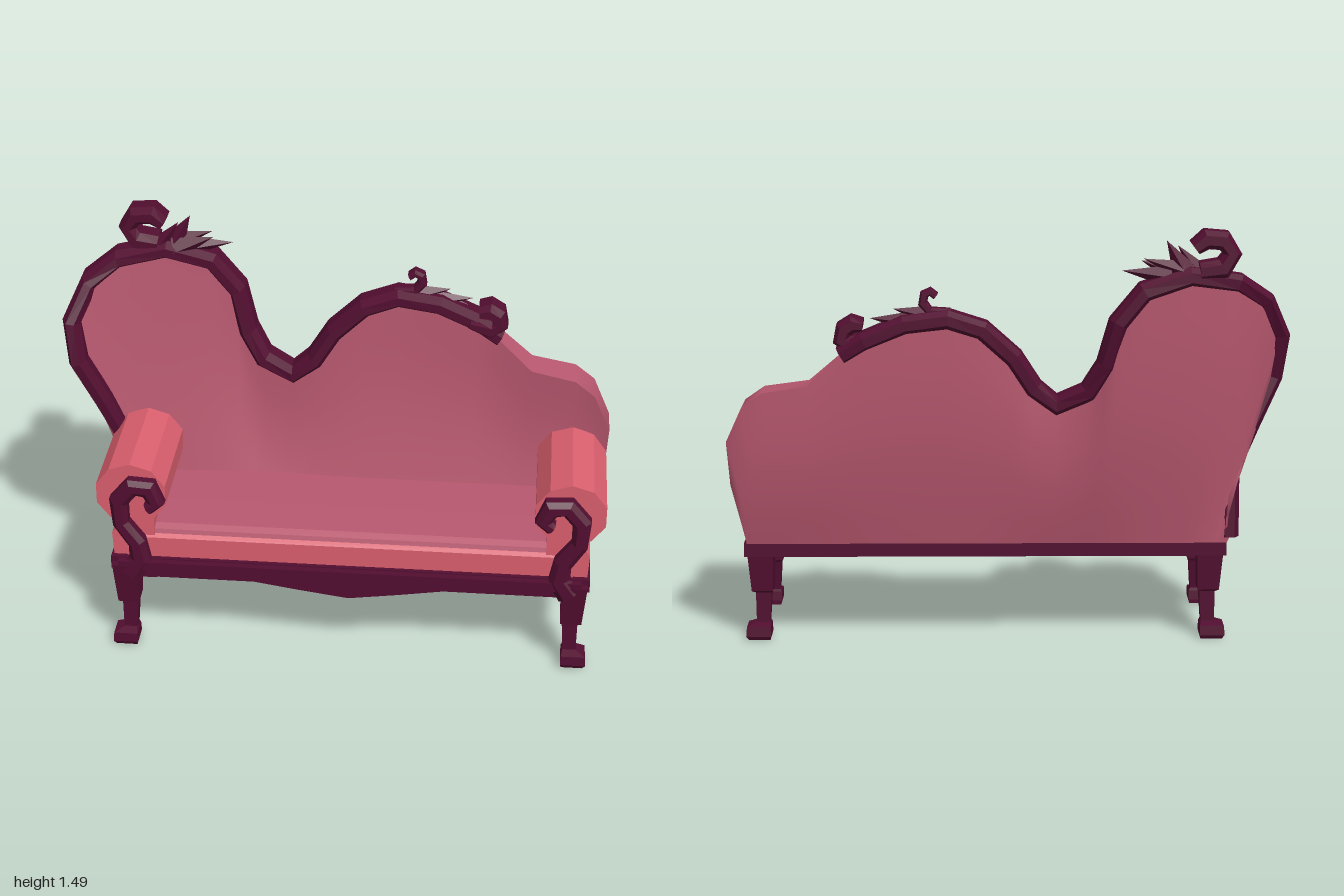
import * as THREE from 'three';

const wood = new THREE.MeshStandardMaterial({ color: 0x520e30 });
wood.name = 'dark wood'; wood.flatShading = true;
const fabric = new THREE.MeshStandardMaterial({ color: 0xb8586f, side: THREE.DoubleSide });
fabric.name = 'rose fabric';
const coral = new THREE.MeshStandardMaterial({ color: 0xda5f6e });
coral.name = 'coral fabric'; coral.flatShading = true;

const CX = 0.08; // middle of the seat and base

// Back outline, left to right: x, y, front z, rear z, x on the bottom edge
const OUTLINE = [
  [-0.79, 0.38, -0.09, -0.20, -0.78], [-0.79, 0.62, -0.08, -0.19, -0.77],
  [-0.86, 0.78, -0.06, -0.17, -0.76], [-0.94, 0.95, -0.05, -0.13, -0.74],
  [-0.96, 1.10, -0.08, -0.16, -0.72], [-0.90, 1.23, -0.13, -0.23, -0.68],
  [-0.80, 1.30, -0.18, -0.28, -0.63], [-0.63, 1.33, -0.22, -0.31, -0.53],
  [-0.47, 1.28, -0.24, -0.33, -0.43], [-0.38, 1.17, -0.24, -0.33, -0.36],
  [-0.34, 1.02, -0.22, -0.30, -0.31], [-0.28, 0.92, -0.20, -0.27, -0.26],
  [-0.17, 0.87, -0.18, -0.25, -0.17], [-0.09, 0.93, -0.18, -0.26, -0.08],
  [-0.02, 1.04, -0.19, -0.27, 0.00], [0.09, 1.14, -0.20, -0.28, 0.10],
  [0.21, 1.18, -0.21, -0.29, 0.22], [0.36, 1.16, -0.20, -0.29, 0.37],
  [0.50, 1.10, -0.19, -0.29, 0.50], [0.58, 1.05, -0.18, -0.28, 0.58],
  [0.70, 0.945, -0.15, -0.28, 0.69], [0.86, 0.92, -0.13, -0.27, 0.82],
  [0.93, 0.87, -0.12, -0.26, 0.87], [0.99, 0.74, -0.11, -0.24, 0.90],
  [0.98, 0.58, -0.11, -0.22, 0.92], [0.93, 0.37, -0.10, -0.20, 0.93],
];

function add(group, name, geometry, material, x = 0, y = 0, z = 0) {
  const mesh = new THREE.Mesh(geometry, material);
  mesh.name = name;
  mesh.position.set(x, y, z);
  group.add(mesh);
  return mesh;
}

// Indexed surface from rows of points; optional end caps
function loft(rows, closed, caps) {
  const n = rows[0].length, index = [];
  for (let i = 0; i < rows.length - 1; i++) {
    for (let j = 0; j < (closed ? n : n - 1); j++) {
      const k = (j + 1) % n, a = i * n + j, b = i * n + k;
      index.push(a, b, b + n, a, b + n, a + n);
    }
  }
  if (caps) {
    const last = (rows.length - 1) * n;
    for (let j = 1; j < n - 1; j++) index.push(0, j + 1, j, last, last + j, last + j + 1);
  }
  const g = new THREE.BufferGeometry();
  g.setAttribute('position', new THREE.Float32BufferAttribute(rows.flat(2), 3));
  g.setIndex(index);
  g.computeVertexNormals();
  return g;
}

// Bevelled bar following points [x, y, z, half width], with its depth along z
const SECTION = [[-0.5, -1], [0.5, -1], [1, -0.6], [1, 0.4], [0.5, 1], [-0.4, 1], [-1, 0.5], [-1, -0.6]];
function bar(path, depth) {
  const rows = path.map(([x, y, z, w], i) => {
    const p = path[Math.max(i - 1, 0)], q = path[Math.min(i + 1, path.length - 1)];
    const l = Math.hypot(q[0] - p[0], q[1] - p[1]);
    const nx = -(q[1] - p[1]) / l, ny = (q[0] - p[0]) / l;
    return SECTION.map(([a, b]) => [x + nx * a * w, y + ny * a * w, z + b * depth]);
  });
  return loft(rows, true, true);
}

// Profile in (x, y) extruded along z
function slab(points, depth) {
  const s = new THREE.Shape(points.map(p => new THREE.Vector2(p[0], p[1])));
  return new THREE.ExtrudeGeometry(s, { depth, bevelEnabled: false });
}

function makeBack(root) {
  const back = new THREE.Group();
  back.name = 'back';
  const sheet = (zi, bottomZ) => {
    const rows = [];
    for (let r = 0; r <= 8; r++) {
      const v = r / 8;
      rows.push(OUTLINE.map(p => [
        THREE.MathUtils.lerp(p[4], p[0], v),
        THREE.MathUtils.lerp(0.36, p[1], v),
        THREE.MathUtils.lerp(bottomZ, p[zi], v) - 0.025 * Math.sin(Math.PI * v) * Math.min(1, (p[1] - 0.36) * 2),
      ]));
    }
    return rows;
  };
  add(back, 'backFront', loft(sheet(2, -0.08)), fabric);
  add(back, 'backRear', loft(sheet(3, -0.2).map(r => r.reverse())), fabric);
  add(back, 'backEdge', loft([OUTLINE.map(p => [p[0], p[1], p[2]]), OUTLINE.map(p => [p[0], p[1], p[3]])]), fabric);
  // Carved frame along the left side and the two crests
  const path = OUTLINE.slice(0, 20).map(p => [p[0], p[1], (p[2] + p[3]) / 2, 0.034]);
  add(back, 'backFrame', bar(path, 0.062), wood);
  root.add(back);
}

function makeCrest(root) {
  const crest = new THREE.Group();
  crest.name = 'crestCarving';
  const leaf = (x, y, z, length, angle, width = 0.035) => {
    const g = new THREE.ConeGeometry(width, length, 4);
    g.translate(0, length / 2, 0);
    add(crest, 'leaf', g, wood, x, y, z).rotation.z = angle - Math.PI / 2;
  };
  add(crest, 'tallScroll', bar([
    [-0.66, 1.35, -0.27, 0.03], [-0.74, 1.36, -0.27, 0.035], [-0.77, 1.41, -0.27, 0.032],
    [-0.74, 1.455, -0.27, 0.035], [-0.68, 1.46, -0.27, 0.034], [-0.64, 1.43, -0.27, 0.025],
  ], 0.06), wood);
  leaf(-0.66, 1.34, -0.25, 0.12, 0.9);
  leaf(-0.61, 1.34, -0.27, 0.13, 1.05, 0.045);
  leaf(-0.60, 1.35, -0.28, 0.14, 0.3);
  leaf(-0.56, 1.33, -0.28, 0.17, 0.12, 0.04);
  leaf(-0.60, 1.33, -0.25, 0.15, 0.35, 0.045);
  add(crest, 'smallScroll', bar([
    [0.20, 1.20, -0.25, 0.016], [0.27, 1.205, -0.25, 0.016], [0.295, 1.235, -0.25, 0.017],
    [0.29, 1.265, -0.25, 0.016], [0.27, 1.275, -0.25, 0.014], [0.25, 1.26, -0.25, 0.012],
  ], 0.03), wood);
  leaf(0.28, 1.19, -0.25, 0.12, 0.2);
  leaf(0.34, 1.17, -0.25, 0.14, 0.08);
  leaf(0.40, 1.15, -0.25, 0.11, -0.2);
  add(crest, 'endScroll', bar([
    [0.47, 1.11, -0.22, 0.02], [0.55, 1.085, -0.22, 0.035], [0.58, 1.105, -0.22, 0.03],
    [0.57, 1.14, -0.22, 0.032], [0.54, 1.16, -0.22, 0.03], [0.505, 1.155, -0.22, 0.02],
  ], 0.06), wood);
  root.add(crest);
}

function makeBase(root) {
  const base = new THREE.Group();
  base.name = 'base';
  add(base, 'rail', new THREE.BoxGeometry(1.72, 0.05, 0.51), wood, CX, 0.337, 0.055);
  add(base, 'frontMoulding', new THREE.BoxGeometry(1.66, 0.035, 0.03), wood, CX, 0.34, 0.32);
  // Serpentine apron under the front rail
  add(base, 'apron', slab([
    [-0.8, 0.33], [-0.8, 0.29], [-0.34, 0.29], [-0.18, 0.265], [0, 0.24],
    [0.18, 0.265], [0.34, 0.29], [0.8, 0.29], [0.8, 0.33],
  ], 0.045), wood, CX, 0, 0.275);
  root.add(base);
}

function makeSeat(root) {
  // Profiles run back from the front edge, then turn to span the seat width
  const across = (name, points, material) => {
    const m = add(root, name, slab(points, 1.6), material, CX - 0.8, 0, 0);
    m.rotation.y = Math.PI / 2;
  };
  across('seatBase', [[-0.295, 0.355], [0.12, 0.355], [0.12, 0.45], [-0.285, 0.455], [-0.295, 0.44]], coral);
  across('seatCushion', [[-0.287, 0.45], [0.13, 0.45], [0.13, 0.49], [-0.1, 0.49], [-0.255, 0.482], [-0.28, 0.47]], fabric);
}

function makeArm(root, s) {
  const arm = new THREE.Group();
  arm.name = s > 0 ? 'leftArm' : 'rightArm';
  const roll = new THREE.CylinderGeometry(0.13, 0.13, 0.42, 10).rotateX(Math.PI / 2);
  roll.scale(1, 0.94, 1);
  add(arm, 'armRoll', roll, coral, CX + s * 0.78, 0.613, 0.08);
  const panel = [[0.70, 0.36], [0.85, 0.36], [0.855, 0.45], [0.825, 0.49], [0.815, 0.56], [0.70, 0.56]];
  add(arm, 'armPanel', slab(panel.map(p => [CX + s * p[0], p[1]]), 0.4), coral, 0, 0, -0.11);
  // Carved scroll post on the arm front
  const post = [
    [0.79, 0.30, 0.045], [0.75, 0.36, 0.04], [0.76, 0.43, 0.033], [0.815, 0.51, 0.03],
    [0.82, 0.60, 0.034], [0.77, 0.66, 0.034], [0.71, 0.655, 0.036], [0.685, 0.60, 0.03],
    [0.715, 0.575, 0.022],
  ];
  add(arm, 'armScroll', bar(post.map(([x, y, w]) => [CX + s * x, y, 0.308, w]), 0.033), wood);
  root.add(arm);
}

// Cabriole leg: y, outward x, outward z, half width, half depth
const LEG = [
  [0, 0.012, 0.012, 0.038, 0.038], [0.015, 0.015, 0.016, 0.045, 0.043], [0.05, 0.014, 0.016, 0.043, 0.04],
  [0.06, 0, 0, 0.024, 0.022], [0.17, -0.003, -0.008, 0.028, 0.03],
  [0.18, 0, -0.002, 0.038, 0.042], [0.34, 0.005, 0, 0.047, 0.052],
];
function makeLeg(root, sx, sz, x, z) {
  const rows = LEG.map(([y, ox, oz, w, d]) =>
    [[-1, -1], [1, -1], [1, 1], [-1, 1]].map(([b, a]) => [x + sx * ox + a * w, y, z + sz * oz + b * d]));
  add(root, sz > 0 ? 'frontLeg' : 'rearLeg', loft(rows, true, true), wood);
}

export function createModel() {
  const root = new THREE.Group();
  root.name = 'sofa';
  makeBack(root);
  makeCrest(root);
  makeBase(root);
  makeSeat(root);
  for (const s of [-1, 1]) {
    makeArm(root, s);
    makeLeg(root, s, 1, CX + s * 0.80, 0.285);
    makeLeg(root, s, -1, CX + s * 0.80, -0.14);
  }
  return root;
}
